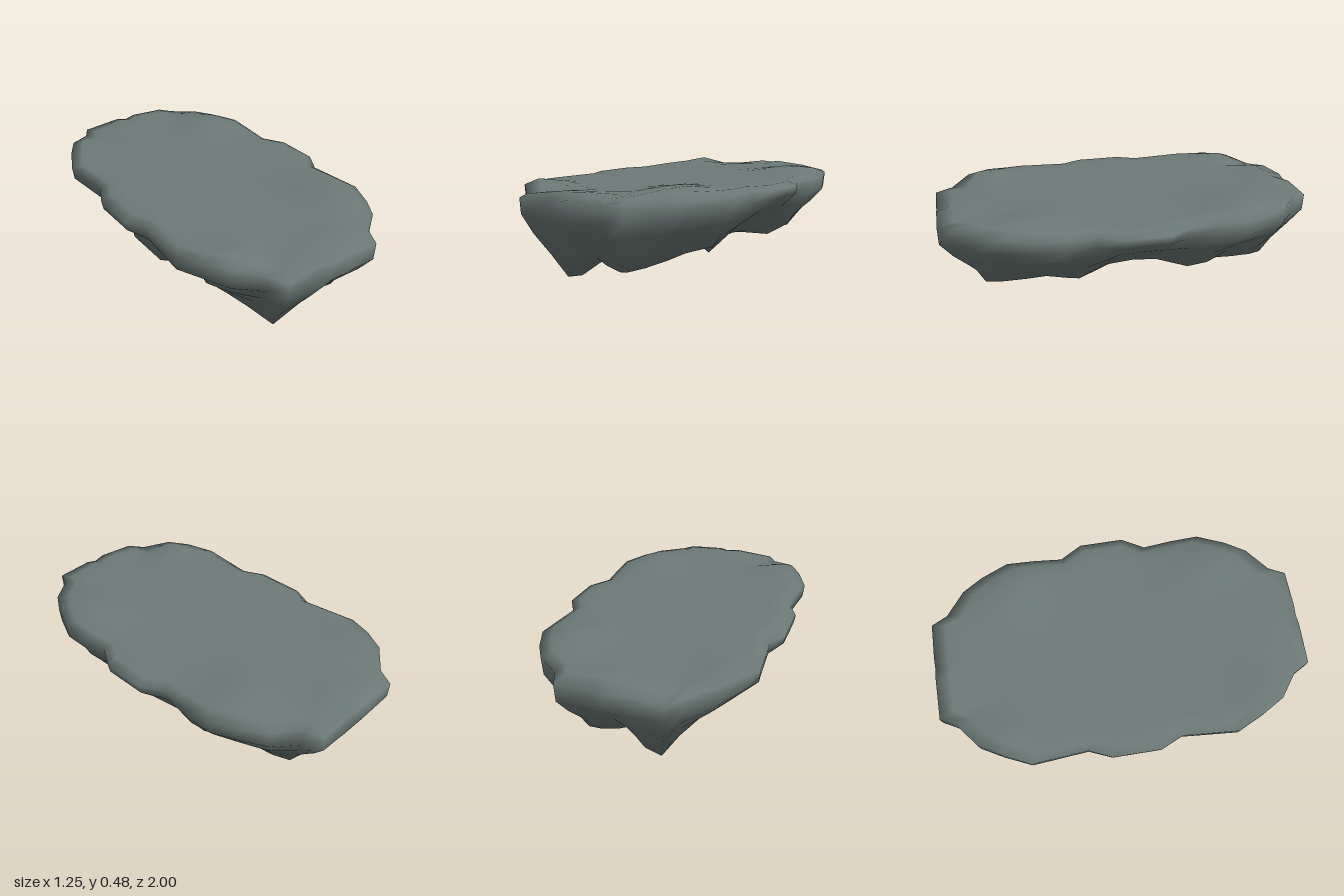
import * as THREE from 'three';

// Stations round half of the slab, from the +x side over the front to the -x side.
// rim: x, z, top y, bottom y
const rim = [
  [0.62, 0, 0.43, 0.385], [0.62, 0.12, 0.43, 0.385], [0.55, 0.24, 0.43, 0.37], [0.565, 0.40, 0.43, 0.36],
  [0.565, 0.55, 0.44, 0.36], [0.50, 0.70, 0.44, 0.36], [0.43, 0.81, 0.44, 0.35], [0.30, 0.91, 0.44, 0.34],
  [0.26, 1.0, 0.43, 0.34], [0.06, 1.0, 0.44, 0.33], [0, 1.0, 0.425, 0.33], [-0.06, 1.0, 0.44, 0.33],
  [-0.28, 1.0, 0.42, 0.34], [-0.33, 0.91, 0.425, 0.34], [-0.46, 0.81, 0.45, 0.35], [-0.53, 0.69, 0.45, 0.36],
  [-0.595, 0.55, 0.43, 0.36], [-0.57, 0.25, 0.42, 0.36], [-0.625, 0.13, 0.42, 0.37], [-0.625, 0, 0.42, 0.37],
];
// foot: where the flank turns into the underside, x, y, z
const foot = [
  [0.29, 0.155, 0], [0.30, 0.15, 0.13], [0.34, 0.105, 0.30], [0.42, 0.16, 0.38],
  [0.32, 0.13, 0.47], [0.28, 0.105, 0.57], [0.25, 0.09, 0.70], [0.21, 0.08, 0.78],
  [0.15, 0.065, 0.76], [0.06, 0.085, 0.76], [-0.01, 0.115, 0.76], [-0.09, 0.02, 0.78],
  [-0.18, 0, 0.79], [-0.22, 0.03, 0.64], [-0.26, 0.055, 0.52], [-0.29, 0.068, 0.43],
  [-0.34, 0.115, 0.34], [-0.37, 0.13, 0.22], [-0.435, 0.12, 0.14], [-0.435, 0.12, 0],
];

// Low mounds and hollows of the walking surface: x, z, height, radius
const mounds = [
  [-0.42, 0.74, 0.028, 0.12], [0.36, 0.55, 0.034, 0.17], [0.09, 0.89, 0.022, 0.08],
  [-0.10, 0.89, 0.022, 0.07], [-0.28, 0.85, -0.03, 0.09],
];
const topHeight = (x, z) => mounds.reduce(
  (y, [mx, mz, h, r]) => y + h * Math.exp(-((x - mx) ** 2 + (Math.abs(z) - mz) ** 2) / (r * r)), 0.45);

const mix = (a, b, t) => a + (b - a) * t;

// Flank profiles between rim and foot: how far inward, how far down
const evenFlank = [[0.27, 0.3], [0.63, 0.63]];
const shelfFlank = [[0.58, 0.14], [0.92, 0.7]];

// One column of points per station, from the middle of the top to the middle of the underside
function column(i) {
  const [x, z, top, bottom] = rim[i];
  const [fx, fy, fz] = foot[i];
  const points = [0, 0.2, 0.4, 0.55, 0.7, 0.8, 0.92].map(s => [x * s, topHeight(x * s, z * s), z * s]);
  points.push([x, top, z], [x * 0.985, bottom, z * 0.997]);
  for (const [inward, down] of i > 15 ? shelfFlank : evenFlank) {
    points.push([mix(x, fx, inward), mix(bottom, fy, down), mix(z, fz, inward)]);
  }
  points.push([fx, fy, fz]);
  for (const t of [0.2, 0.45, 0.7, 1]) {
    points.push([mix(fx, -0.08, t), mix(fy, 0.125, Math.sqrt(t)), fz * (1 - t)]);
  }
  return points;
}

function slabGeometry() {
  const half = rim.map((_, i) => column(i));
  const mirrored = half.slice(1, -1).reverse().map(c => c.map(([x, y, z]) => [x, y, -z]));
  const columns = [...half, ...mirrored];
  const rows = columns[0].length, n = columns.length;
  const index = [];
  for (let i = 0; i < n; i++) {
    for (let r = 0; r < rows - 1; r++) {
      const a = i * rows + r, b = ((i + 1) % n) * rows + r;
      if (r < rows - 2) index.push(a, b + 1, a + 1);
      else index.push(a, b, a + 1);
      if (r > 0 && r < rows - 2) index.push(a, b, b + 1);
    }
  }
  const geometry = new THREE.BufferGeometry();
  geometry.setAttribute('position', new THREE.Float32BufferAttribute(columns.flat(2), 3));
  geometry.setIndex(index);
  geometry.computeVertexNormals();
  // share one normal at each pole, where all columns meet
  const normal = geometry.attributes.normal;
  for (let i = 0; i < n; i++) {
    normal.setXYZ(i * rows, 0, 1, 0);
    normal.setXYZ(i * rows + rows - 1, 0, -1, 0);
  }
  return geometry;
}

export function createModel() {
  const group = new THREE.Group();
  group.name = 'floatingRock';
  const rock = new THREE.Mesh(slabGeometry(), new THREE.MeshStandardMaterial({ color: 0x6c7a77 }));
  rock.name = 'rockSlab';
  group.add(rock);
  return group;
}
